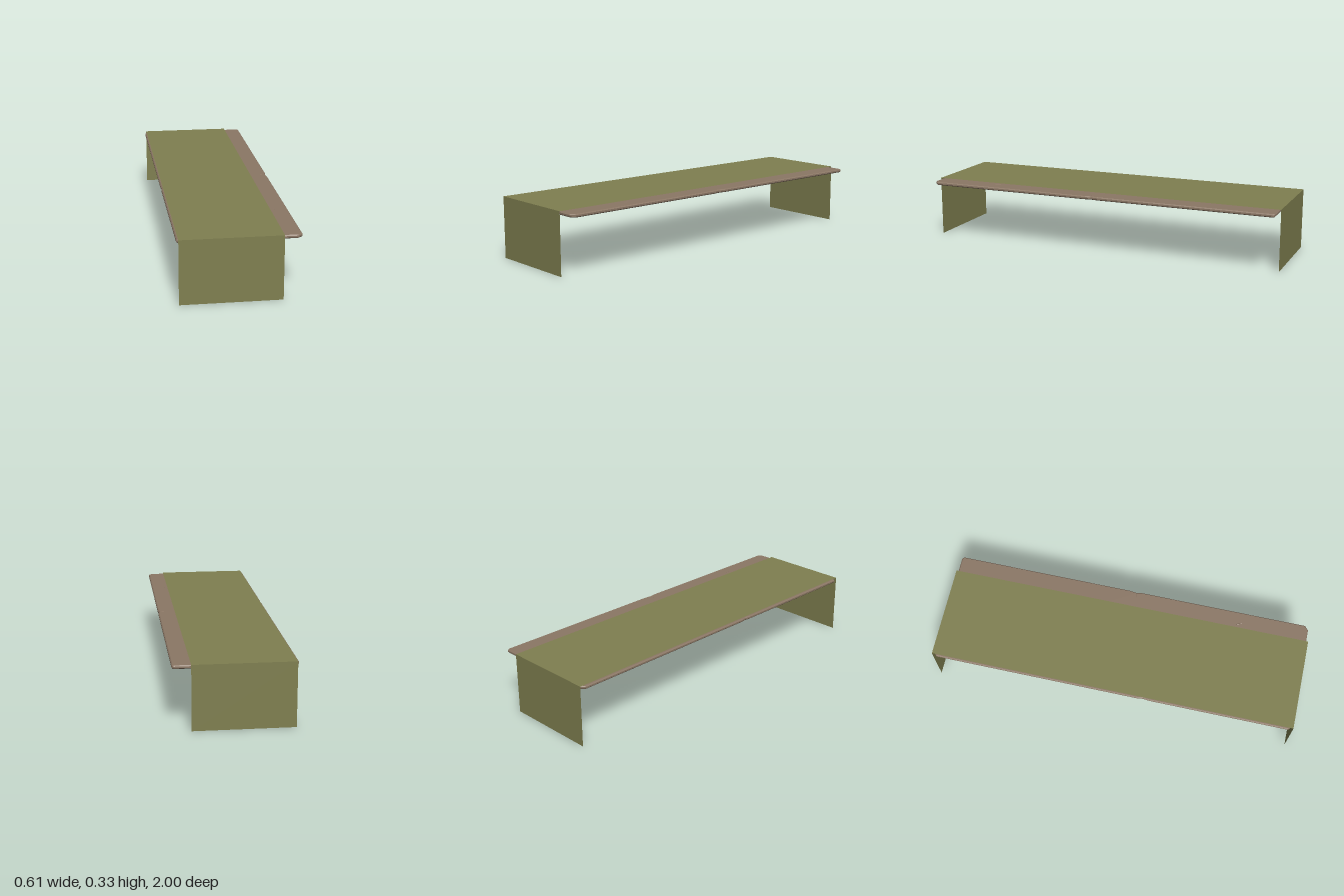
import * as THREE from 'three';

export function createModel() {
  const group = new THREE.Group();
  group.name = 'drapedPlank';

  const wood = new THREE.MeshStandardMaterial({ color: 0x8b7765, flatShading: true });
  const cloth = new THREE.MeshStandardMaterial({ color: 0x7f7f50, side: THREE.DoubleSide });

  const add = (name, geometry, material, x, y, z) => {
    const mesh = new THREE.Mesh(geometry, material);
    mesh.name = name;
    mesh.position.set(x, y, z);
    group.add(mesh);
    return mesh;
  };

  // Worn plank: outline as [x, z] with clipped corners and shallow edge chips
  const bevel = 0.005;
  const outline = [
    [-0.283, 0.985], [0.278, 0.985], [0.298, 0.968],
    [0.298, 0.05], [0.293, 0.02], [0.298, -0.02],
    [0.298, -0.978], [0.292, -0.985], [-0.283, -0.985], [-0.298, -0.972],
    [-0.298, 0.15], [-0.294, 0.18], [-0.298, 0.21], [-0.298, 0.972],
  ];
  const shape = new THREE.Shape(outline.map(([x, z]) => new THREE.Vector2(x, -z)));
  const plank = new THREE.ExtrudeGeometry(shape, {
    depth: 0.008, bevelEnabled: true, bevelSize: bevel, bevelThickness: bevel, bevelSegments: 1,
  });
  plank.rotateX(-Math.PI / 2);
  add('plank', plank, wood, 0, 0.308 + bevel, 0);

  // Small splinters on the bare strip of the plank: [x, z, length, turn]
  [[0.238, 0.62, 0.045, 0.35], [0.282, 0.02, 0.028, 1.75]].forEach(([x, z, length, turn]) => {
    const splinter = add('splinter', new THREE.ConeGeometry(0.0025, length, 4).rotateX(Math.PI / 2), wood, x, 0.326, z);
    splinter.rotation.y = turn;
    splinter.scale.y = 0.5;
  });

  // Cloth: flat top sheet with a flap hanging to the ground at each end
  const left = -0.295, right = 0.212, height = 0.33;
  const width = right - left, middle = (left + right) / 2;
  add('clothTop', new THREE.PlaneGeometry(width, 2).rotateX(-Math.PI / 2), cloth, middle, height, 0);
  for (const side of [1, -1]) {
    const flap = add(side > 0 ? 'frontFlap' : 'backFlap', new THREE.PlaneGeometry(width, height), cloth, middle, height / 2, side);
    if (side < 0) flap.rotation.y = Math.PI;
  }

  return group;
}
